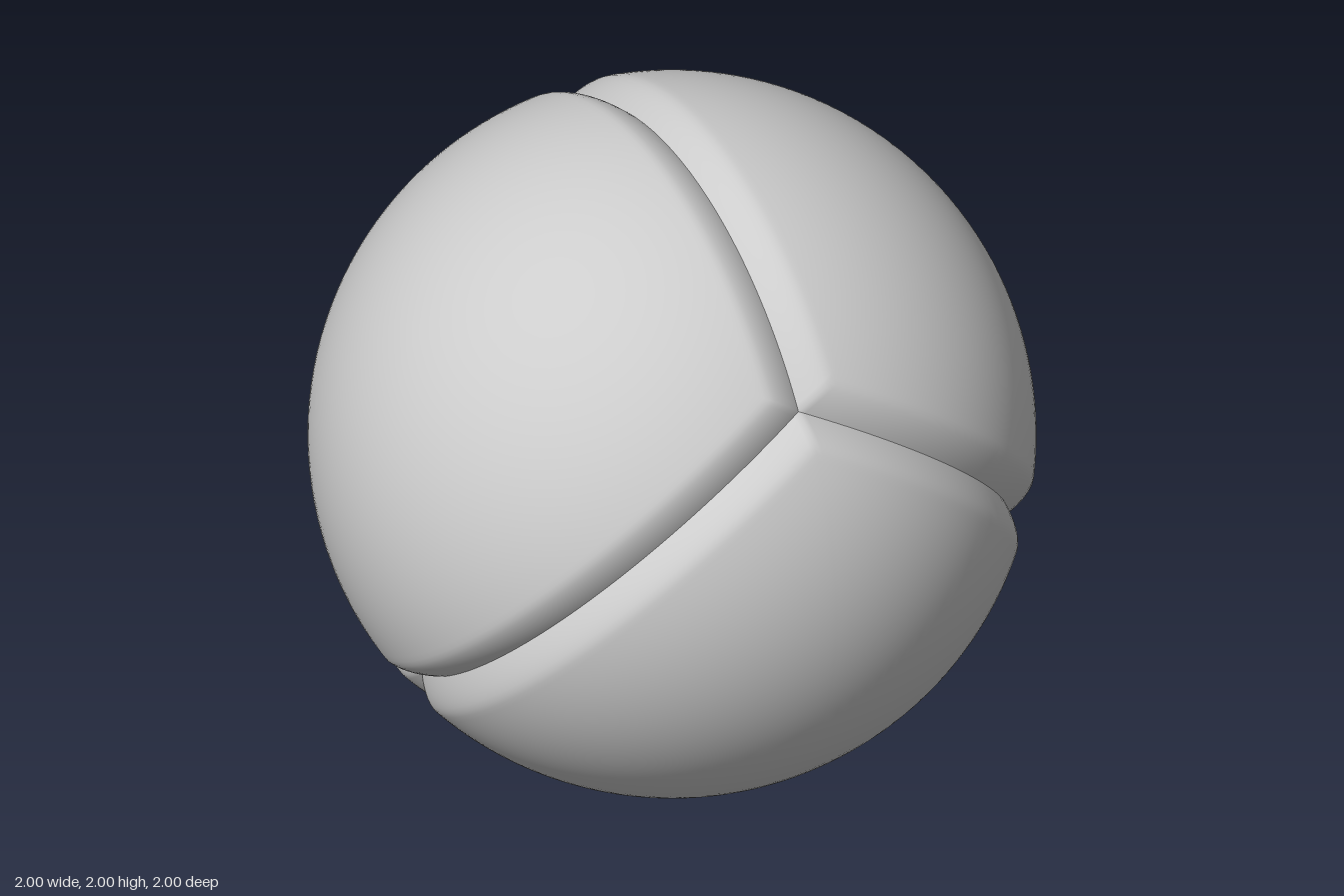
import * as THREE from 'three';

const RADIUS = 1.004, DEPTH = 0.057, SHOULDER = 0.1;
const EDGE_STEPS = 48, RINGS = 40;

// Points where three grooves meet: the corners of a tetrahedron
const corners = [[1, 1, 1], [-1, -1, 1], [1, -1, -1], [-1, 1, -1]]
  .map(c => new THREE.Vector3(...c).normalize());

// One quarter of the ball, with its rim rounded down into the groove
function quarterShell(index) {
  const centre = corners[index].clone().negate();
  const rim = corners.filter((_, i) => i !== index);
  const normals = rim.map(c => c.clone().sub(corners[index]).normalize());
  const [a, b, c] = rim;
  const facing = b.clone().sub(a).cross(c.clone().sub(a)).dot(centre);
  if (facing < 0) rim.reverse();

  // Outline of the quarter, counter-clockwise from outside
  const outline = [];
  rim.forEach((from, k) => {
    for (let i = 0; i < EDGE_STEPS; i++) {
      outline.push(from.clone().lerp(rim[(k + 1) % 3], i / EDGE_STEPS).normalize());
    }
  });

  const positions = [], indices = [], n = outline.length;
  const addPoint = dir => {
    const d = Math.max(0, Math.min(...normals.map(v => v.dot(dir))));
    const drop = DEPTH * Math.pow(Math.max(0, 1 - d / SHOULDER), 1.5);
    positions.push(...dir.clone().multiplyScalar(RADIUS - drop).toArray());
  };

  // Rings grow from the middle and crowd together near the groove
  addPoint(centre);
  for (let r = 1; r <= RINGS; r++) {
    const t = 1 - (1 - r / RINGS) ** 2;
    outline.forEach(p => addPoint(centre.clone().lerp(p, t).normalize()));
  }
  for (let i = 0; i < n; i++) {
    const j = (i + 1) % n;
    indices.push(0, 1 + i, 1 + j);
    for (let r = 0; r < RINGS - 1; r++) {
      const inner = 1 + r * n, outer = inner + n;
      indices.push(inner + i, outer + i, outer + j, inner + i, outer + j, inner + j);
    }
  }

  const geometry = new THREE.BufferGeometry();
  geometry.setAttribute('position', new THREE.Float32BufferAttribute(positions, 3));
  geometry.setIndex(indices);
  geometry.computeVertexNormals();
  return geometry;
}

export function createModel() {
  const model = new THREE.Group();
  model.name = 'quarteredBall';
  const grey = new THREE.MeshStandardMaterial({ color: 0xcccccc });
  grey.name = 'light grey';

  const names = ['lowerBackRightQuarter', 'upperBackLeftQuarter', 'upperFrontRightQuarter', 'lowerFrontLeftQuarter'];
  names.forEach((name, i) => {
    const quarter = new THREE.Mesh(quarterShell(i), grey);
    quarter.name = name;
    quarter.position.y = 1;
    model.add(quarter);
  });
  return model;
}
